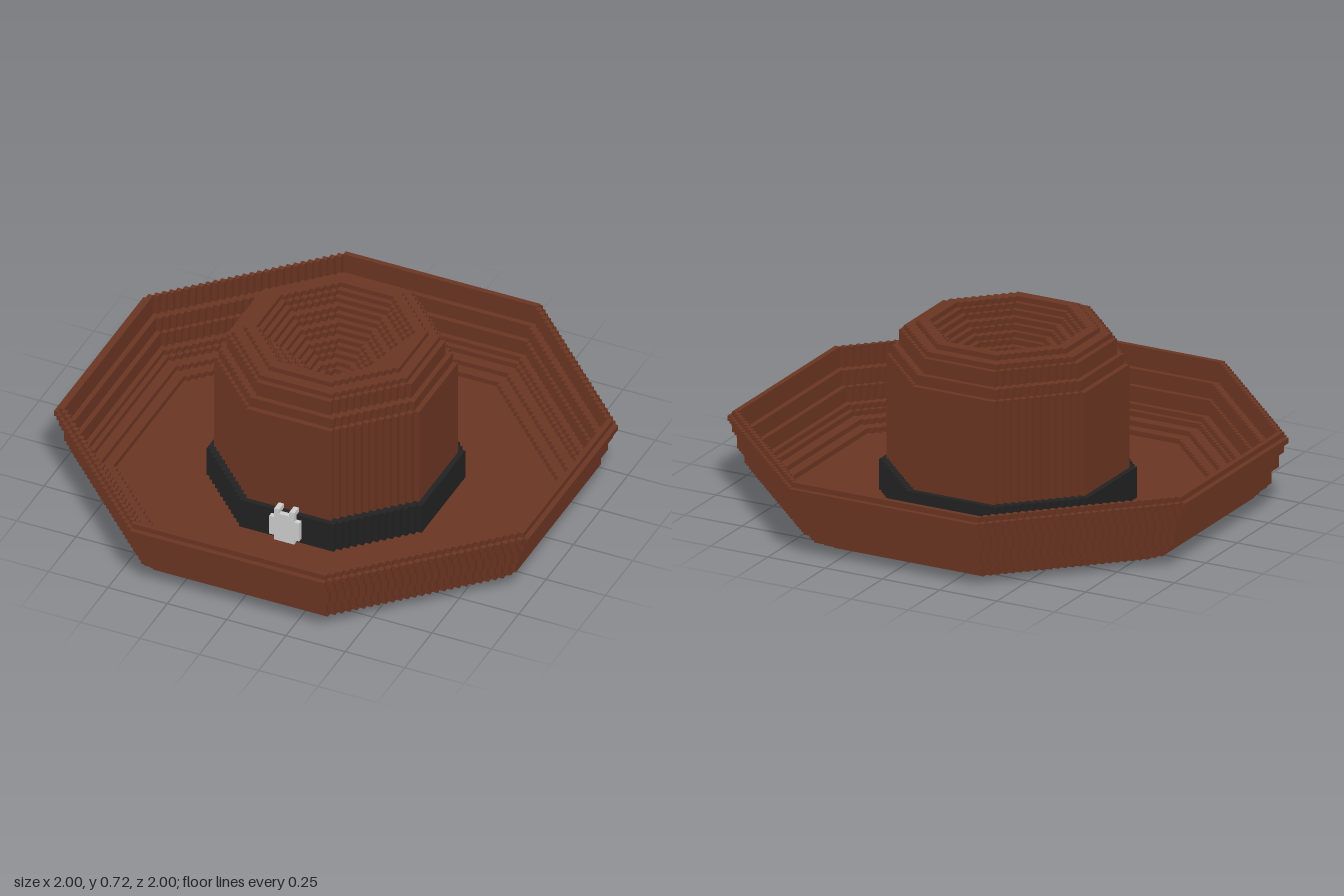
import * as THREE from 'three';

const V = 2 / 95; // size of one block

const brown = new THREE.MeshStandardMaterial({ color: 0x6b3522 });
brown.name = 'brownFelt';
const black = new THREE.MeshStandardMaterial({ color: 0x222222 });
black.name = 'blackBand';
const silver = new THREE.MeshStandardMaterial({ color: 0xcfcfcf });
silver.name = 'silverBuckle';

// Octagon outline of radius r blocks, with stair-stepped diagonals
function octagon(r) {
  const c = Math.round(r * Math.SQRT2) - r; // half length of a straight side
  const quarter = [];
  for (let k = 0; k <= r - c; k++) {
    quarter.push([r + 0.5 - k, c + 0.5 + k]);
    if (k < r - c) quarter.push([r - 0.5 - k, c + 0.5 + k]);
  }
  const points = [];
  for (let q = 0; q < 4; q++) {
    for (const [x, y] of quarter) {
      const [px, py] = [[x, y], [-y, x], [-x, -y], [y, -x]][q];
      points.push(new THREE.Vector2(px * V, py * V));
    }
  }
  return points;
}

// Stepped octagonal slab from layer y0 to y1, with an optional hole
function slab(group, name, material, outer, inner, y0, y1) {
  const shape = new THREE.Shape(octagon(outer));
  if (inner >= 0) shape.holes.push(new THREE.Path(octagon(inner).reverse()));
  const geometry = new THREE.ExtrudeGeometry(shape, { depth: (y1 - y0) * V, bevelEnabled: false });
  geometry.rotateX(-Math.PI / 2);
  const mesh = new THREE.Mesh(geometry, material);
  mesh.name = name;
  mesh.position.y = y0 * V;
  group.add(mesh);
}

// Box measured in blocks, given by its centre
function block(group, name, w, h, d, x, y, z) {
  const mesh = new THREE.Mesh(new THREE.BoxGeometry(w * V, h * V, d * V), silver);
  mesh.name = name;
  mesh.position.set(x * V, y * V, z * V);
  group.add(mesh);
}

function part(parent, name) {
  const group = new THREE.Group();
  group.name = name;
  parent.add(group);
  return group;
}

export function createModel() {
  const hat = new THREE.Group();
  hat.name = 'hat';

  // Brim: flat floor, then a thin wall curling up: [outer, inner, y0, y1]
  const brim = part(hat, 'brim');
  slab(brim, 'brimFloor', brown, 37, 19, 0, 1);
  const wall = [
    [39, 37, 1, 2], [41, 39, 2, 3], [42, 41, 3, 4], [43, 42, 4, 5],
    [44, 43, 5, 8], [45, 44, 8, 11], [46, 45, 11, 13], [47, 45, 13, 14], [46, 45, 14, 15],
  ];
  for (const [outer, inner, y0, y1] of wall) slab(brim, 'brimWall', brown, outer, inner, y0, y1);

  // Crown: solid lower body, rounded shoulder and a stepped dent in the top
  const crown = part(hat, 'crown');
  slab(crown, 'crownBody', brown, 20, -1, 1, 21);
  const shoulder = [19, 19, 18, 18, 18, 17, 15]; // layers 27 to 33
  for (let y = 21; y < 34; y++) {
    slab(crown, 'crownLayer', brown, y < 27 ? 20 : shoulder[y - 27], y - 20, y, y + 1);
  }

  // Band around the foot of the crown
  slab(hat, 'band', black, 21, 20, 1, 7);

  // Buckle on the front of the band, with two ears hooked over its top edge
  const buckle = part(hat, 'buckle');
  block(buckle, 'buckleTall', 4, 6, 1, 0, 4, 22);
  block(buckle, 'buckleWide', 6, 4, 1, 0, 4, 22);
  for (const side of [-1, 1]) block(buckle, 'buckleEar', 1, 1, 2, side * 1.5, 7.5, 21.5);

  return hat;
}
